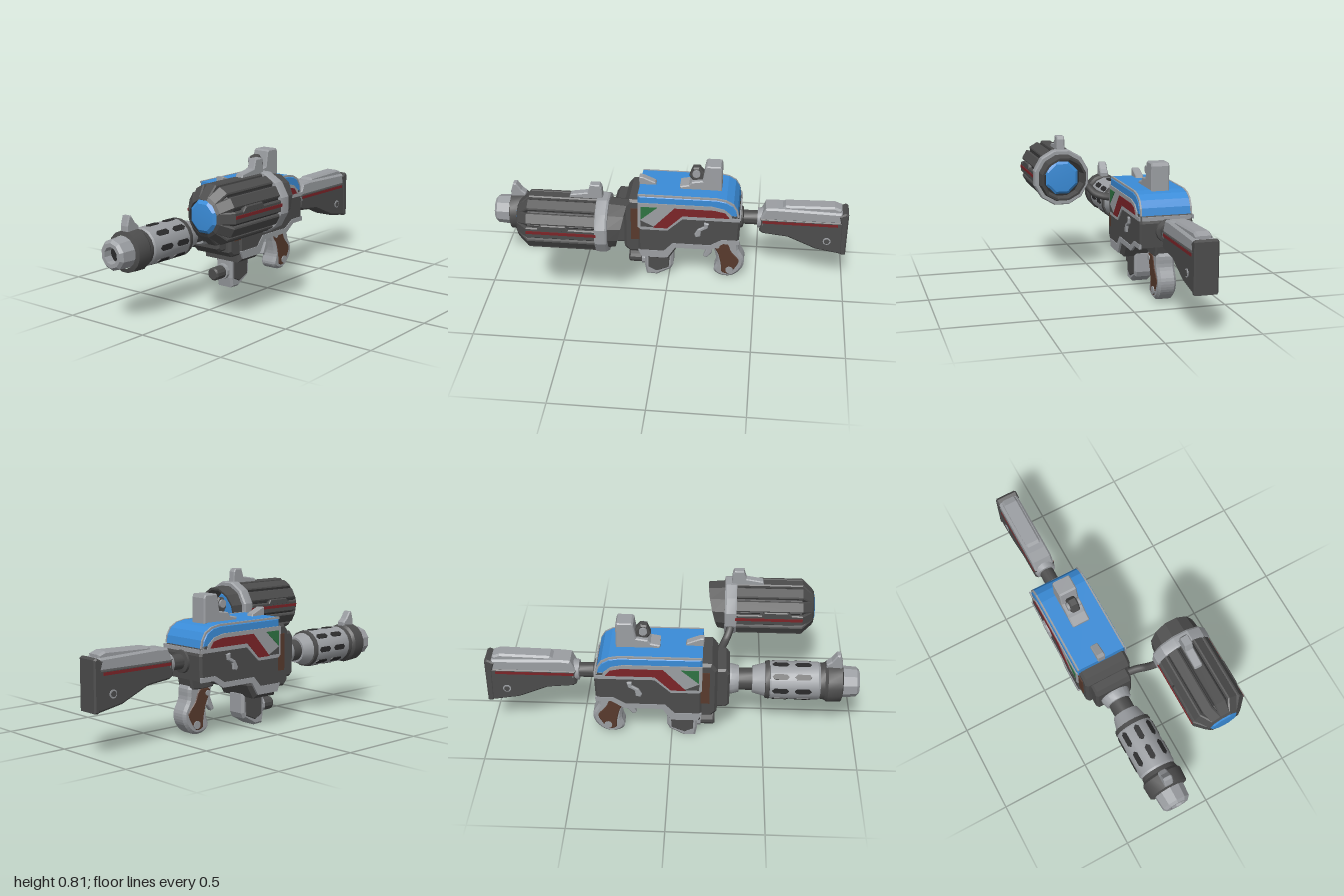
import * as THREE from 'three';
import { toCreasedNormals } from 'three/addons/utils/BufferGeometryUtils.js';

const material = (name, color) => Object.assign(new THREE.MeshStandardMaterial({ color }), { name });
const ZC = -0.204; // centre plane of the rifle

export function createModel() {
  const dark = material('dark metal', 0x4c4c4c);
  const black = material('black recess', 0x2b2b2c);
  const light = material('light metal', 0x9b9ea2);
  const blue = material('blue paint', 0x3a8cd8);
  const red = material('red stripe', 0x7c2428);
  const green = material('green mark', 0x2f7342);
  const brown = material('brown leather', 0x583a2d);

  const model = new THREE.Group();
  model.name = 'rifle';

  const add = (name, geo, mat, parent = model) => {
    const mesh = new THREE.Mesh(geo, mat);
    mesh.name = name;
    parent.add(mesh);
    return mesh;
  };
  // Side profile extruded across z, with chamfered edges inside the outline
  const slab = (name, pts, width, z, mat, bevel = 0, parent = model, smooth = false) => {
    const v = pts.map(p => new THREE.Vector2(...p));
    let shape = new THREE.Shape(v);
    if (smooth) {
      const loop = new THREE.CatmullRomCurve3(v.map(p => new THREE.Vector3(p.x, p.y, 0)), true);
      shape = new THREE.Shape(loop.getPoints(40).slice(0, -1).map(p => new THREE.Vector2(p.x, p.y)));
    }
    const geo = new THREE.ExtrudeGeometry(shape, {
      depth: width - 2 * bevel, bevelEnabled: bevel > 0, bevelThickness: bevel,
      bevelSize: bevel, bevelOffset: -bevel, bevelSegments: 1,
    });
    geo.translate(0, 0, -width / 2 + bevel);
    const mesh = add(name, geo, mat, parent);
    mesh.position.z = z;
    return mesh;
  };
  // Turned part along x; profile is [x, radius] with x rising along the outside
  const turned = (name, profile, mat, parent, sides = 16) => {
    const geo = new THREE.LatheGeometry(profile.map(([x, r]) => new THREE.Vector2(r, x)), sides);
    geo.rotateZ(-Math.PI / 2);
    geo.rotateX(Math.PI / sides);
    return add(name, toCreasedNormals(geo, 0.45), mat, parent);
  };
  const box = (name, [w, h, d], [x, y, z], mat, parent = model) => {
    const mesh = add(name, new THREE.BoxGeometry(w, h, d), mat, parent);
    mesh.position.set(x, y, z);
    return mesh;
  };
  const disc = (name, r, len, [x, y, z], mat, sides = 14) => {
    const mesh = add(name, new THREE.CylinderGeometry(r, r, len, sides).rotateX(Math.PI / 2), mat);
    mesh.position.set(x, y, z);
    return mesh;
  };

  // Receiver
  slab('receiver', [[-0.165, 0.5], [-0.165, 0.22], [-0.01, 0.22], [0.035, 0.27], [0.245, 0.27], [0.31, 0.31],
    [0.4, 0.31], [0.405, 0.44], [0.385, 0.5]], 0.29, ZC, dark, 0.012);
  slab('receiverKeel', [[-0.155, 0.27], [-0.155, 0.165], [0.005, 0.165], [0.05, 0.24], [0.05, 0.27]], 0.285, ZC, dark, 0.028);
  slab('topCover', [[-0.165, 0.48], [0.395, 0.48], [0.388, 0.52], [0.365, 0.558], [0.325, 0.582], [0.27, 0.592],
    [-0.165, 0.592]], 0.29, ZC, blue, 0.012);
  slab('frontBlock', [[-0.245, 0.51], [-0.245, 0.24], [-0.215, 0.21], [-0.15, 0.21], [-0.15, 0.55], [-0.215, 0.55]], 0.27, ZC, dark, 0.014);
  slab('frontStep', [[-0.31, 0.47], [-0.31, 0.27], [-0.29, 0.25], [-0.23, 0.25], [-0.23, 0.5], [-0.29, 0.5]], 0.215, ZC, dark, 0.012);

  // Side markings and trim, the same on both sides
  for (const s of [1, -1]) {
    const at = d => ZC + s * (0.145 + d);
    slab('sidePanel', [[-0.165, 0.545], [0.25, 0.545], [0.315, 0.53], [0.355, 0.495], [0.36, 0.475], [0.403, 0.475],
      [0.403, 0.455], [0.085, 0.455], [0.0, 0.375], [-0.15, 0.375], [-0.165, 0.39]], 0.008, at(0.002), light);
    slab('darkInset', [[-0.15, 0.435], [-0.07, 0.395], [-0.15, 0.395]], 0.006, at(0.005), dark);
    slab('greenMark', [[-0.148, 0.523], [-0.055, 0.523], [-0.148, 0.44]], 0.006, at(0.006), green);
    slab('redBand', [[-0.08, 0.392], [0.04, 0.523], [0.26, 0.523], [0.32, 0.51], [0.345, 0.477], [0.085, 0.477],
      [0.0, 0.392]], 0.006, at(0.006), red);
    slab('lowerTrim', [[-0.165, 0.235], [-0.02, 0.235], [0.03, 0.29], [0.24, 0.29], [0.305, 0.33], [0.402, 0.33],
      [0.402, 0.305], [0.315, 0.305], [0.25, 0.262], [0.045, 0.262], [0, 0.19], [-0.145, 0.19]], 0.012, at(-0.002), light);
    slab('latch', [[0.205, 0.44], [0.232, 0.435], [0.225, 0.405], [0.19, 0.385], [0.185, 0.35], [0.16, 0.343],
      [0.152, 0.362], [0.17, 0.395], [0.205, 0.415]], 0.02, at(0.002), light, 0.004);
    slab('leatherPad', [[-0.205, 0.5], [-0.205, 0.3], [-0.15, 0.3], [-0.15, 0.5]], 0.008, ZC + s * 0.137, brown);
    slab('coverRim', [[-0.165, 0.594], [0.27, 0.594], [0.325, 0.584], [0.367, 0.56], [0.39, 0.52], [0.397, 0.48],
      [0.388, 0.48], [0.38, 0.52], [0.36, 0.552], [0.32, 0.574], [0.27, 0.582], [-0.165, 0.582]], 0.009, at(-0.008), light);
  }
  box('rearBand', [0.008, 0.02, 0.27], [0.403, 0.465, ZC], light);

  // Top sights
  slab('rearSight', [[0.06, 0.585], [0.06, 0.605], [0.11, 0.615], [0.125, 0.635], [0.185, 0.645], [0.2, 0.73],
    [0.21, 0.738], [0.285, 0.738], [0.293, 0.72], [0.293, 0.585]], 0.1, ZC, light, 0.006);
  slab('sightLever', [[0.11, 0.66], [0.13, 0.71], [0.165, 0.715], [0.21, 0.66], [0.19, 0.63], [0.13, 0.63]], 0.05, ZC, dark, 0.008);
  disc('sightKnob', 0.022, 0.075, [0.15, 0.68, ZC], light, 10);
  slab('frontSight', [[-0.17, 0.58], [-0.17, 0.635], [-0.15, 0.635], [-0.08, 0.605], [-0.07, 0.58]], 0.045, ZC, light, 0.005);

  // Barrel
  const barrel = new THREE.Group();
  barrel.name = 'barrel';
  barrel.position.set(0, 0.367, ZC);
  model.add(barrel);
  turned('muzzle', [[-0.95, 0], [-0.95, 0.045], [-1, 0.045], [-1, 0.065], [-0.985, 0.08], [-0.9, 0.086]], light, barrel, 10);
  turned('muzzleBore', [[-0.955, 0], [-0.955, 0.044]], black, barrel, 10).material.side = THREE.DoubleSide;
  turned('muzzleCollar', [[-0.912, 0.085], [-0.905, 0.108], [-0.83, 0.112], [-0.815, 0.1], [-0.785, 0.095]], dark, barrel);
  turned('barrelShroud', [[-0.795, 0], [-0.795, 0.094], [-0.78, 0.102], [-0.53, 0.102], [-0.515, 0.096], [-0.43, 0.072], [-0.43, 0]], light, barrel);
  turned('shroudBand', [[-0.525, 0.09], [-0.522, 0.104], [-0.5, 0.1], [-0.495, 0.08]], dark, barrel);
  turned('barrelNeck', [[-0.435, 0.045], [-0.43, 0.06], [-0.3, 0.06]], dark, barrel);
  turned('neckRing', [[-0.36, 0.05], [-0.358, 0.072], [-0.32, 0.082], [-0.3, 0.082]], light, barrel);
  for (let i = 0; i < 8; i++) for (const x of [-0.7, -0.58]) {
    const slot = slab('ventSlot', [[x - 0.045, 0], [x - 0.032, 0.015], [x + 0.032, 0.015], [x + 0.045, 0],
      [x + 0.032, -0.015], [x - 0.032, -0.015]], 0.008, 0, black, 0, barrel);
    const a = i * Math.PI / 4;
    slot.rotation.x = a;
    slot.position.set(0, -Math.sin(a) * 0.1, Math.cos(a) * 0.1);
  }
  slab('barrelSight', [[-0.905, 0.45], [-0.905, 0.5], [-0.89, 0.55], [-0.872, 0.55], [-0.845, 0.51], [-0.82, 0.49],
    [-0.82, 0.45]], 0.05, ZC, light, 0.006);

  // Shoulder stock
  const stockNeck = new THREE.Group();
  stockNeck.name = 'stockNeck';
  stockNeck.position.set(0, 0.4, ZC);
  model.add(stockNeck);
  turned('neckTube', [[0.39, 0.03], [0.39, 0.065], [0.415, 0.06], [0.42, 0.04], [0.53, 0.04]], dark, stockNeck);
  turned('neckCollar', [[0.495, 0.03], [0.497, 0.055], [0.53, 0.062]], light, stockNeck);
  slab('stock', [[0.51, 0.43], [0.51, 0.345], [0.53, 0.33], [0.67, 0.315], [0.83, 0.245], [0.97, 0.22], [0.99, 0.225],
    [0.995, 0.43]], 0.12, ZC, dark, 0.01);
  slab('stockTop', [[0.51, 0.42], [0.54, 0.49], [0.6, 0.495], [0.96, 0.485], [0.99, 0.46], [0.99, 0.42]], 0.116, ZC, light, 0.01);
  slab('cheekRest', [[0.61, 0.47], [0.65, 0.508], [0.92, 0.515], [0.96, 0.5], [0.96, 0.46], [0.65, 0.46]], 0.085, ZC, light, 0.01);
  slab('buttPlate', [[0.945, 0.47], [0.96, 0.42], [0.965, 0.235], [0.975, 0.217], [1, 0.22], [1, 0.48], [0.985, 0.49]], 0.126, ZC, dark, 0.008);
  box('stockStripe', [0.42, 0.016, 0.124], [0.735, 0.408, ZC], red);
  disc('stockScrew', 0.022, 0.128, [0.89, 0.305, ZC], light);
  disc('stockScrewCore', 0.015, 0.134, [0.89, 0.305, ZC], dark);

  // Pistol grip and trigger
  slab('grip', [[0.235, 0.275], [0.26, 0.19], [0.275, 0.11], [0.26, 0.05], [0.29, 0.02], [0.36, 0.015], [0.42, 0.07],
    [0.432, 0.13], [0.4, 0.2], [0.39, 0.27]], 0.1, ZC, light, 0.014, model, true);
  slab('gripMount', [[0.22, 0.3], [0.23, 0.255], [0.29, 0.245], [0.38, 0.25], [0.395, 0.32]], 0.112, ZC, dark, 0.01);
  slab('gripPanels', [[0.255, 0.245], [0.285, 0.16], [0.3, 0.09], [0.305, 0.045], [0.35, 0.035], [0.385, 0.08], [0.405, 0.13],
    [0.36, 0.19], [0.33, 0.25]], 0.108, ZC, brown, 0.006, model, true);
  for (const [x, y, r] of [[0.35, 0.065, 0.022], [0.275, 0.225, 0.015]]) disc('gripScrew', r, 0.118, [x, y, ZC], light);
  slab('trigger', [[0.21, 0.275], [0.222, 0.19], [0.195, 0.125], [0.215, 0.115], [0.245, 0.15], [0.25, 0.275]], 0.035, ZC, light, 0.005);

  // Fore grip with side lamp
  slab('foreGrip', [[-0.14, 0.18], [-0.14, 0.06], [-0.13, 0.003], [-0.07, 0], [0.01, 0.045], [0.025, 0.075], [0.025, 0.18]], 0.11, ZC, light, 0.012);
  slab('foreGripInset', [[-0.12, 0.17], [-0.12, 0.055], [-0.07, 0.03], [0, 0.06], [0.008, 0.17]], 0.118, ZC, dark, 0.005);
  const lamp = new THREE.Group();
  lamp.name = 'lamp';
  lamp.position.set(0, 0.095, ZC);
  model.add(lamp);
  turned('lampTube', [[-0.235, 0], [-0.235, 0.03], [-0.225, 0.037], [-0.13, 0.037]], dark, lamp, 12);
  turned('lampRing', [[-0.16, 0.035], [-0.158, 0.045], [-0.13, 0.045]], light, lamp, 12);

  // Side scope
  const scope = new THREE.Group();
  scope.name = 'scope';
  scope.position.set(0, 0.577, 0.197);
  model.add(scope);
  turned('scopeCore', [[-0.755, 0], [-0.755, 0.095], [-0.695, 0.138], [-0.3, 0.138]], black, scope, 12);
  turned('frontLens', [[-0.776, 0], [-0.77, 0.07], [-0.755, 0.088]], blue, scope, 8);
  for (let i = 0; i < 12; i++) {
    const rib = slab('scopeRib', [[-0.765, 0.085], [-0.755, 0.1], [-0.7, 0.152], [-0.32, 0.152], [-0.32, 0.12],
      [-0.7, 0.12]], 0.062, 0, dark, 0.006, scope);
    rib.rotation.x = i * Math.PI / 6;
  }
  for (const s of [1, -1]) {
    box('scopeStripe', [0.37, 0.016, 0.008], [-0.515, 0.005, s * 0.152], red, scope);
    slab('scopeBracket', [[-0.65, 0.018], [-0.62, 0.05], [-0.49, 0.05], [-0.47, 0.018]], 0.03, s * 0.138, dark, 0.005, scope);
  }
  turned('scopeRing', [[-0.34, 0.12], [-0.34, 0.158], [-0.33, 0.162], [-0.285, 0.162], [-0.275, 0.156], [-0.275, 0.12]], light, scope, 12);
  // Eyecup, sheared so its upper lip reaches further back
  const cup = turned('eyecup', [[-0.28, 0.138], [-0.215, 0.13], [-0.215, 0.118], [-0.285, 0.105]], dark, scope, 12);
  const p = cup.geometry.attributes.position;
  for (let i = 0; i < p.count; i++) if (p.getX(i) > -0.25) p.setX(i, p.getX(i) + p.getY(i) * 0.24);
  cup.geometry.computeVertexNormals();
  turned('eyecupFloor', [[-0.28, 0.12], [-0.28, 0]], black, scope, 12);
  turned('rearLens', [[-0.279, 0.1], [-0.268, 0.085], [-0.262, 0]], blue, scope, 8);
  slab('scopeFin', [[-0.49, 0.72], [-0.48, 0.745], [-0.39, 0.76], [-0.375, 0.808], [-0.325, 0.808], [-0.315, 0.79],
    [-0.31, 0.72]], 0.045, 0.193, light, 0.005);

  // Scope arm
  const path = new THREE.CatmullRomCurve3([[-0.31, 0.54, 0.08], [-0.305, 0.515, 0.04], [-0.285, 0.475, 0],
    [-0.265, 0.458, -0.05], [-0.255, 0.45, -0.12]].map(q => new THREE.Vector3(...q)));
  add('scopeArm', new THREE.TubeGeometry(path, 14, 0.021, 8), dark);
  return model;
}
